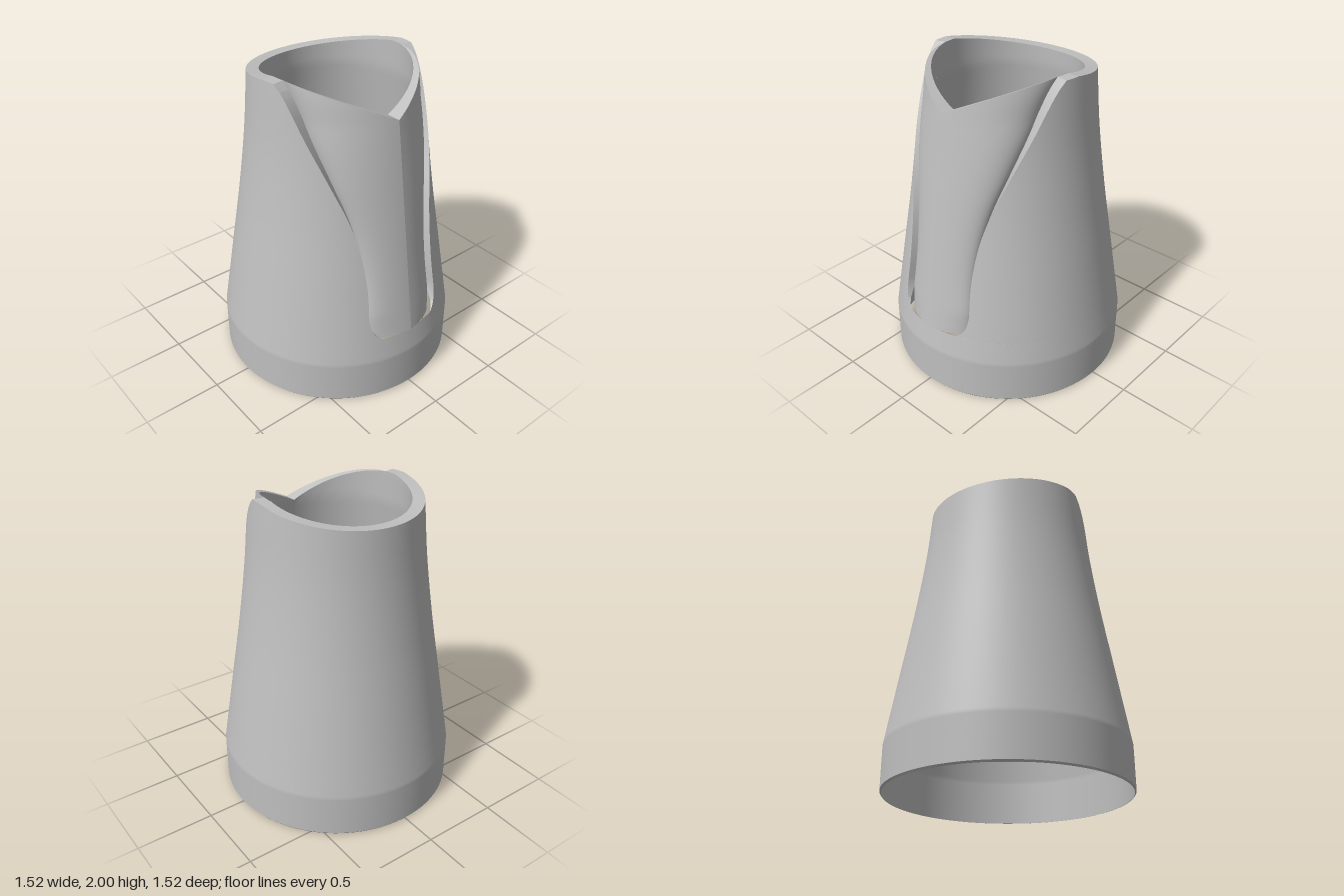
import * as THREE from 'three';
import { toCreasedNormals } from 'three/addons/utils/BufferGeometryUtils.js';

// Piecewise linear and smooth lookups through [position, value] points
const linear = (pts) => (y) => {
  let i = 1;
  while (i < pts.length - 1 && y > pts[i][0]) i++;
  const [a, b] = [pts[i - 1], pts[i]];
  return THREE.MathUtils.lerp(a[1], b[1], THREE.MathUtils.clamp((y - a[0]) / (b[0] - a[0]), 0, 1));
};
const smooth = (pts) => {
  const f = new THREE.CubicInterpolant(pts.map((p) => p[0]), pts.map((p) => p[1]), 1, [0]);
  return (y) => f.evaluate(THREE.MathUtils.clamp(y, pts[0][0], pts[pts.length - 1][0]))[0];
};

// Wall radii by height, and half width of the front slot
const outerRadius = smooth([[0.28, 0.76], [0.8, 0.675], [1.2, 0.61], [1.6, 0.557], [2, 0.523]]);
const innerRadius = linear([[0, 0.75], [0.28, 0.75], [0.43, 0.735], [0.58, 0.652], [1.2, 0.55], [1.8, 0.457], [2, 0.45]]);
const slotWidth = smooth([[0.58, 0.275], [0.76, 0.266], [0.91, 0.27], [1.07, 0.287], [1.235, 0.322],
  [1.45, 0.387], [1.72, 0.462], [2, 0.514]]);
const slotAngle = (y, w = slotWidth(y)) => Math.asin(Math.min(1, w / outerRadius(y)));

// Closed wall between an outer and an inner grid of points
function wall(cols, rows, outer, inner, skipRow, skipCap) {
  const pos = [], index = [], loop = rows * 2;
  for (let j = 0; j <= cols; j++) {
    for (let i = 0; i < rows; i++) pos.push(...outer(j / cols, i));
    for (let i = rows - 1; i >= 0; i--) pos.push(...inner(j / cols, i));
  }
  const quad = (a, b, c, d) => index.push(a, b, c, a, c, d);
  for (let j = 0; j < cols; j++) {
    for (let k = 0; k < loop; k++) {
      const row = k < rows ? k : loop - 2 - k;
      if (k !== rows - 1 && k !== loop - 1 && skipRow(row)) continue;
      const n = (k + 1) % loop, a = j * loop, b = a + loop;
      quad(a + k, b + k, b + n, a + n);
    }
  }
  // Side faces along both ends
  const e = cols * loop;
  for (let i = 0; i < rows - 1; i++) {
    if (skipCap(i)) continue;
    const p = loop - 1 - i;
    quad(i, i + 1, p - 1, p);
    quad(e + p, e + p - 1, e + i + 1, e + i);
  }
  const g = new THREE.BufferGeometry();
  g.setAttribute('position', new THREE.Float32BufferAttribute(pos, 3));
  g.setIndex(index);
  return toCreasedNormals(g, 0.22);
}

// Tapered sleeve, open at the front slot, with a sloping rim
function sleeveGeometry() {
  const rows = [[0, 0], [0.01, 0], [0.27, 0], [0.28, 0], [0.295, 0], [0.36, 0], [0.43, 0], [0.43, 0.19],
    [0.437, 0.215], [0.455, 0.237], [0.48, 0.255], [0.52, 0.268], [0.58, 0.275]];
  const step = rows.findIndex((r) => r[1] > 0) - 1;
  for (let i = 1; i <= 36; i++) {
    const y = 0.58 + (1.42 * i) / 36;
    rows.push([y, slotWidth(y)]);
  }
  const topAngle = slotAngle(2);
  const point = (radius) => (u, i) => {
    const [y, w] = rows[i];
    const at = (s) => s + u * (2 * Math.PI - 2 * s);
    const t = at(slotAngle(y, w));
    const rim = 2 + 0.17 * Math.min(0, 0.523 * Math.cos(at(topAngle)));
    const h = y > 1.6 ? 1.6 + ((y - 1.6) * (rim - 1.6)) / 0.4 : y;
    const r = radius(h);
    return [r * Math.sin(t), h, r * Math.cos(t)];
  };
  const outer = (y) => (y < 0.01 ? 0.752 + 0.8 * y : outerRadius(y));
  return wall(128, rows.length, point(outer), point(innerRadius), (i) => i === step, (i) => i < step);
}

// Keeled front panel: pointed outside, round inside, thinning out at the slot edges
function spoutGeometry() {
  const rows = 40, bottom = 0.43;
  const frame = (u, i) => {
    const a = (u - 0.5) * Math.PI;
    const y = bottom + ((1.8 + 0.2 * Math.abs(Math.sin(a)) - bottom) * i) / (rows - 1);
    const yc = Math.max(y, 0.58);
    return { a, y, t: slotAngle(yc), r: innerRadius(yc) };
  };
  const outer = (u, i) => {
    const { a, y, t, r } = frame(u, i);
    const tip = 0.55 + (0.195 * (1.8 - y)) / 1.37;
    const side = r * Math.cos(t);
    const f = 0.8 * Math.cos(a) + 0.2 * (1 - Math.abs(Math.sin(a)));
    return [r * Math.sin(t) * Math.sin(a), y, side + (tip - side) * f];
  };
  const inner = (u, i) => {
    const { a, y, t, r } = frame(u, i);
    const b = Math.asin(THREE.MathUtils.clamp(Math.sin(t) * Math.sin(a), -1, 1));
    return [r * Math.sin(b), y, r * Math.cos(b)];
  };
  return wall(48, rows, outer, inner, () => false, () => true);
}

export function createModel() {
  const model = new THREE.Group();
  model.name = 'spoutedSleeve';
  const grey = new THREE.MeshStandardMaterial({ color: 0xbfbfbf });
  grey.name = 'plain grey';
  grey.side = THREE.DoubleSide;
  const add = (name, geometry) => {
    const mesh = new THREE.Mesh(geometry, grey);
    mesh.name = name;
    model.add(mesh);
  };
  add('taperedSleeve', sleeveGeometry());
  add('frontSpout', spoutGeometry());
  return model;
}
